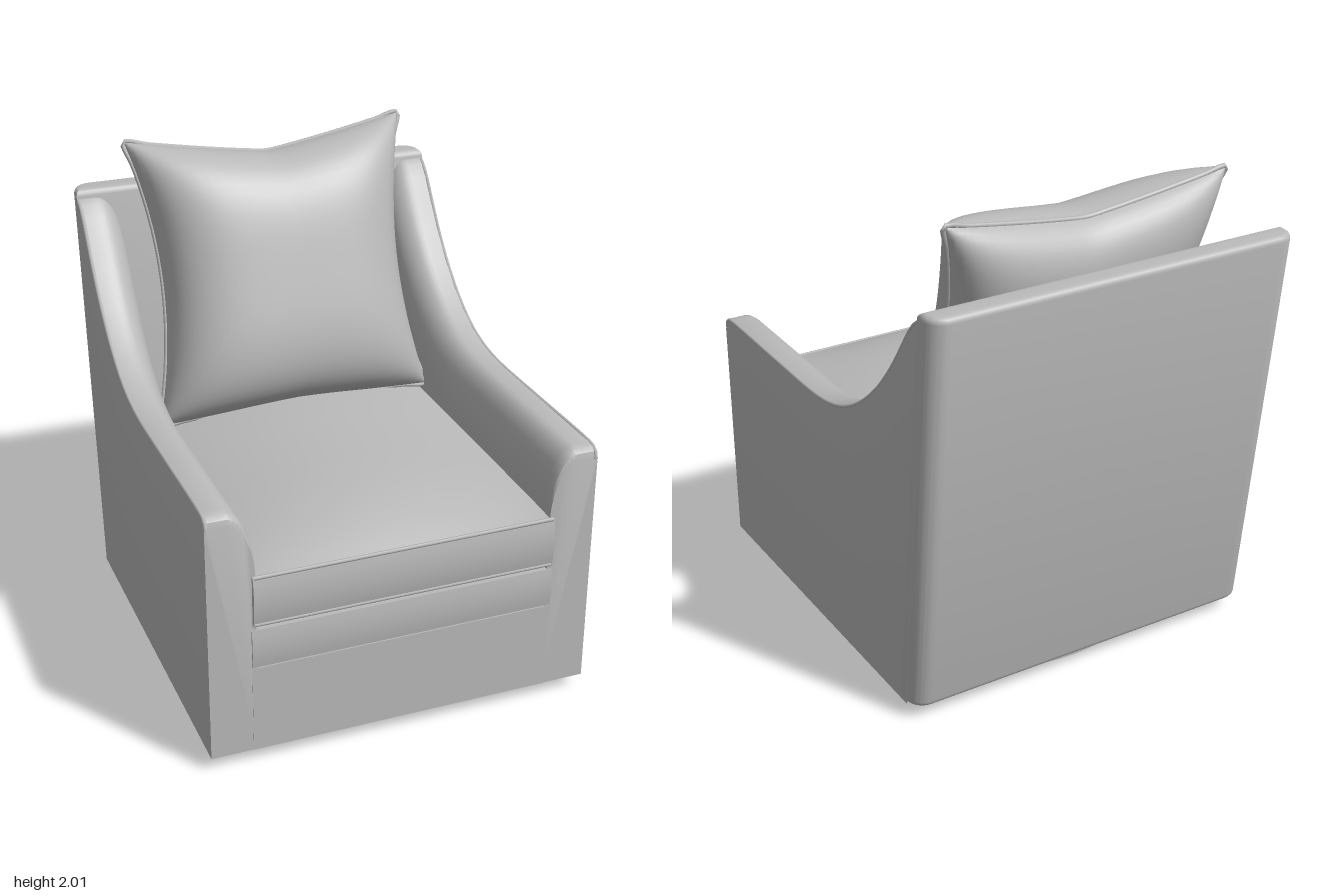
import * as THREE from 'three';
import { toCreasedNormals } from 'three/addons/utils/BufferGeometryUtils.js';

const fabric = new THREE.MeshStandardMaterial({ color: 0xbababa });
fabric.name = 'grey fabric';

const FRONT = 0.9, BOTTOM = 0.06;
// z of the sloping back surface at height y
const backZ = (y) => -0.73 - (y - BOTTOM) * 0.112;

function add(group, name, geometry) {
  const mesh = new THREE.Mesh(geometry, fabric);
  mesh.name = name;
  group.add(mesh);
  return mesh;
}

// moves every vertex by a rule
function warp(geometry, rule) {
  const p = geometry.attributes.position, v = new THREE.Vector3();
  for (let i = 0; i < p.count; i++) {
    v.fromBufferAttribute(p, i);
    rule(v);
    p.setXYZ(i, v.x, v.y, v.z);
  }
  geometry.computeVertexNormals();
  return geometry;
}

function piping(points, closed = false, radius = 0.008) {
  const curve = new THREE.CatmullRomCurve3(points, closed, 'centripetal');
  return new THREE.TubeGeometry(curve, points.length * 4, radius, 6, closed);
}

// top edge of an arm as (z, y), sweeping up into the wing
const armTop = [
  [0.9, 1.06], [0.893, 1.085], [0.875, 1.1], [0.84, 1.105], [0.4, 1.102], [0.1, 1.1], [0, 1.105],
  [-0.1, 1.12], [-0.2, 1.15], [-0.3, 1.2], [-0.4, 1.27], [-0.5, 1.36], [-0.6, 1.475],
  [-0.68, 1.585], [-0.74, 1.67], [-0.78, 1.715], [-0.81, 1.735], [-0.85, 1.745],
];

// arm cross-section: straight outside, rolled over on the inside
function armSection(h) {
  const points = [[0.6, BOTTOM], [0.6, 0.5]];
  for (let i = 0; i <= 10; i++) {
    const a = (i / 10) * Math.PI / 2;
    points.push([0.71 - 0.11 * Math.cos(a), h - 0.25 + 0.25 * Math.sin(a)]);
  }
  points.push([0.775, h], [0.786, h - 0.005], [0.79, h - 0.018], [0.79, BOTTOM]);
  return points;
}

function armGeometry(side) {
  const positions = [], index = [];
  const n = armSection(1).length;
  const tri = (a, b, c) => (side > 0 ? index.push(a, b, c) : index.push(a, c, b));
  armTop.forEach(([z, h], i) => {
    const t = (z - FRONT) / (backZ(h) - FRONT);
    for (const [x, y] of armSection(h)) positions.push(side * x, y, FRONT + (backZ(y) - FRONT) * t);
    if (i === 0) return;
    for (let j = 0; j < n; j++) {
      const k = (j + 1) % n, a = (i - 1) * n, b = i * n;
      tri(a + j, a + k, b + j);
      tri(a + k, b + k, b + j);
    }
  });
  for (let j = 1; j < n - 1; j++) tri(0, j + 1, j); // front face
  const g = new THREE.BufferGeometry();
  g.setAttribute('position', new THREE.Float32BufferAttribute(positions, 3));
  g.setIndex(index);
  return toCreasedNormals(g, 0.6);
}

// back panel: plan outline with round rear corners, raised and leaned back
function backGeometry() {
  const w = 0.79, d = 0.11, r = 0.075, shape = new THREE.Shape();
  shape.moveTo(-w, 0);
  shape.lineTo(w, 0);
  shape.lineTo(w, d - r);
  shape.absarc(w - r, d - r, r, 0, Math.PI / 2);
  shape.lineTo(-w + r, d);
  shape.absarc(-w + r, d - r, r, Math.PI / 2, Math.PI);
  const b = 0.025;
  const g = new THREE.ExtrudeGeometry(shape, {
    depth: 1.71 - 2 * b, bevelSize: b, bevelOffset: -b, bevelThickness: b, bevelSegments: 4, curveSegments: 8,
  });
  g.rotateX(-Math.PI / 2);
  g.translate(0, BOTTOM + b, 0);
  warp(g, (v) => { v.z += backZ(v.y) + d; });
  return toCreasedNormals(g, 0.6);
}

// padded block with a domed top and a bulging front
function padGeometry(w, h, d, crown, bulge) {
  return warp(new THREE.BoxGeometry(w, h, d, 24, 8, 24), (v) => {
    const a = v.x / w * 2, b = v.y / h * 2, c = v.z / d * 2;
    if (b > 0) v.y += b * crown * (1 - a * a) * (1 - c ** 4);
    if (c > 0) v.z += c * bulge * (1 - b * b);
  });
}

// pillow outline pinched along its sides, with pointed corners
function pillowOutline(u, v) {
  const x = u * 0.61 * (1 - 0.15 * (1 - v * v));
  const y = v * (0.595 - (v > 0 ? 0.1 : 0.03) * (1 - Math.abs(u) ** 1.2));
  return [x, y];
}

function pillowHalf(side) {
  const g = new THREE.PlaneGeometry(2, 2, 32, 32);
  if (side < 0) g.rotateY(Math.PI);
  return warp(g, (p) => {
    const u = Math.sin(p.x * Math.PI / 2), v = Math.sin(p.y * Math.PI / 2);
    const puff = Math.sqrt(Math.max(0, (1 - u ** 4) * (1 - v ** 4)));
    const [x, y] = pillowOutline(u, v);
    p.set(x, y, side * (side > 0 ? 0.27 : 0.19) * puff);
  });
}

function buildPillow() {
  const pillow = new THREE.Group();
  pillow.name = 'backPillow';
  add(pillow, 'pillowFront', pillowHalf(1));
  add(pillow, 'pillowRear', pillowHalf(-1));
  const seam = [], corners = [[-1, -1], [1, -1], [1, 1], [-1, 1]];
  corners.forEach(([u, v], i) => {
    const [u2, v2] = corners[(i + 1) % 4];
    for (let k = 0; k < 12; k++) {
      const t = k / 12;
      seam.push(new THREE.Vector3(...pillowOutline(u + (u2 - u) * t, v + (v2 - v) * t), 0));
    }
  });
  add(pillow, 'pillowPiping', piping(seam, true, 0.01));
  pillow.position.set(0, 1.435, -0.5);
  pillow.rotation.x = -0.32;
  return pillow;
}

function buildSwivel() {
  const swivel = new THREE.Group();
  swivel.name = 'swivelBase';
  const profile = [[0.695, 0], [0.73, 0], [0.73, 0.012], [0.7, 0.025], [0.695, 0.025], [0.695, 0]];
  const ring = new THREE.LatheGeometry(profile.map(([r, y]) => new THREE.Vector2(r, y)), 64);
  add(swivel, 'baseRing', toCreasedNormals(ring, 0.5));
  // four flared arms rising from the ring to the underside
  for (let i = 0; i < 4; i++) {
    const g = warp(new THREE.BoxGeometry(0.26, 0.01, 0.32), (v) => {
      const t = v.z / 0.32 + 0.5;
      v.x *= 0.75 + 0.25 * t;
      v.y += 0.062 - 0.044 * t;
      v.z += 0.55;
    });
    add(swivel, 'baseArm', g).rotation.y = i * Math.PI / 2;
  }
  swivel.position.set(0.005, 0, 0.075);
  return swivel;
}

export function createModel() {
  const chair = new THREE.Group();
  chair.name = 'swivelArmchair';

  add(chair, 'backPanel', backGeometry());
  for (const side of [1, -1]) {
    const name = side > 0 ? 'left' : 'right';
    add(chair, name + 'Arm', armGeometry(side));
    const edge = armTop.map(([z, y]) => new THREE.Vector3(side * 0.783, y - 0.005, z));
    add(chair, name + 'ArmPiping', piping(edge));
  }

  // seat base: skirt panel and front rail
  add(chair, 'skirt', new THREE.BoxGeometry(1.24, 0.37, 1.58)).position.set(0, 0.245, 0.112);
  add(chair, 'frontRail', padGeometry(1.24, 0.165, 1.56, 0, 0.007)).position.set(0, 0.5175, 0.123);

  // seat cushion with piped front edges
  add(chair, 'seatCushion', padGeometry(1.23, 0.21, 1.62, 0.1, 0.012)).position.set(0, 0.725, 0.1);
  for (const y of [0.627, 0.828]) {
    const line = [-0.61, -0.3, 0, 0.3, 0.61].map((x) => new THREE.Vector3(x, y, 0.908));
    add(chair, 'cushionPiping', piping(line));
  }

  chair.add(buildPillow(), buildSwivel());
  return chair;
}
